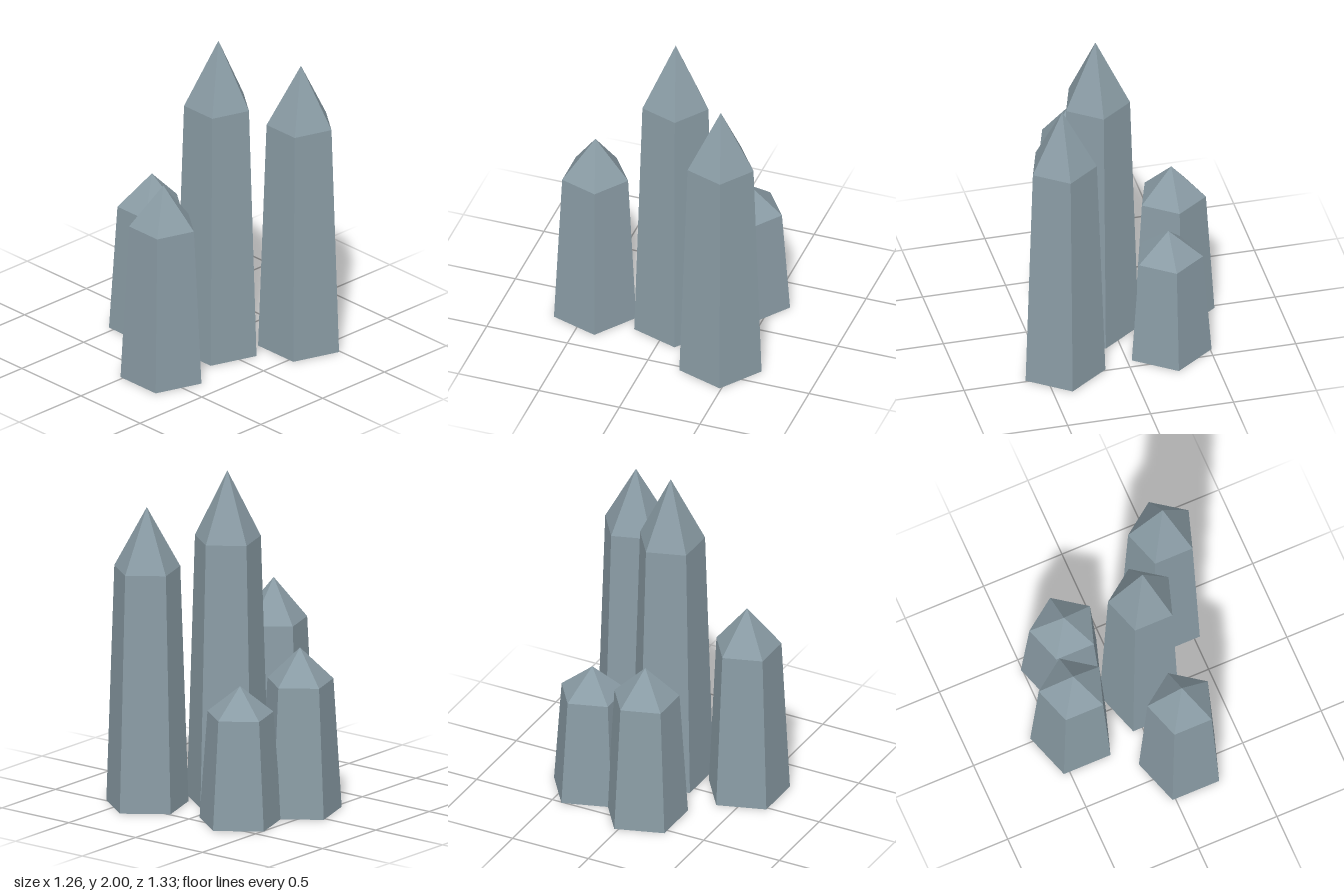
import * as THREE from 'three';

const BASE_RADIUS = 0.253;
const SHOULDER_RADIUS = 0.203;
const SHOULDER_RATIO = 0.794;

export function createModel() {
  const group = new THREE.Group();
  group.name = 'crystalCluster';
  const stone = new THREE.MeshStandardMaterial({ color: 0x8a9ca5, flatShading: true });
  stone.name = 'blue grey crystal';

  // Five-sided crystal: tapering shaft with a pointed tip, one edge facing the back
  function addCrystal(name, x, z, height) {
    const shoulder = height * SHOULDER_RATIO;
    const crystal = new THREE.Group();
    crystal.name = name;
    crystal.position.set(x, 0, z);

    const shaftGeometry = new THREE.CylinderGeometry(SHOULDER_RADIUS, BASE_RADIUS, shoulder, 5, 1, false, Math.PI);
    const shaft = new THREE.Mesh(shaftGeometry, stone);
    shaft.name = 'shaft';
    shaft.position.y = shoulder / 2;

    const tipHeight = height - shoulder;
    const tipGeometry = new THREE.ConeGeometry(SHOULDER_RADIUS, tipHeight, 5, 1, true, Math.PI);
    const tip = new THREE.Mesh(tipGeometry, stone);
    tip.name = 'tip';
    tip.position.y = shoulder + tipHeight / 2;

    crystal.add(shaft, tip);
    group.add(crystal);
  }

  addCrystal('tallCrystal', 0.09, -0.027, 2.0);
  addCrystal('backLeftCrystal', 0.386, -0.412, 1.81);
  addCrystal('frontCrystal', 0.13, 0.457, 1.235);
  addCrystal('rightCrystal', -0.388, 0.055, 0.99);
  addCrystal('backRightCrystal', -0.268, -0.357, 0.825);

  return group;
}
